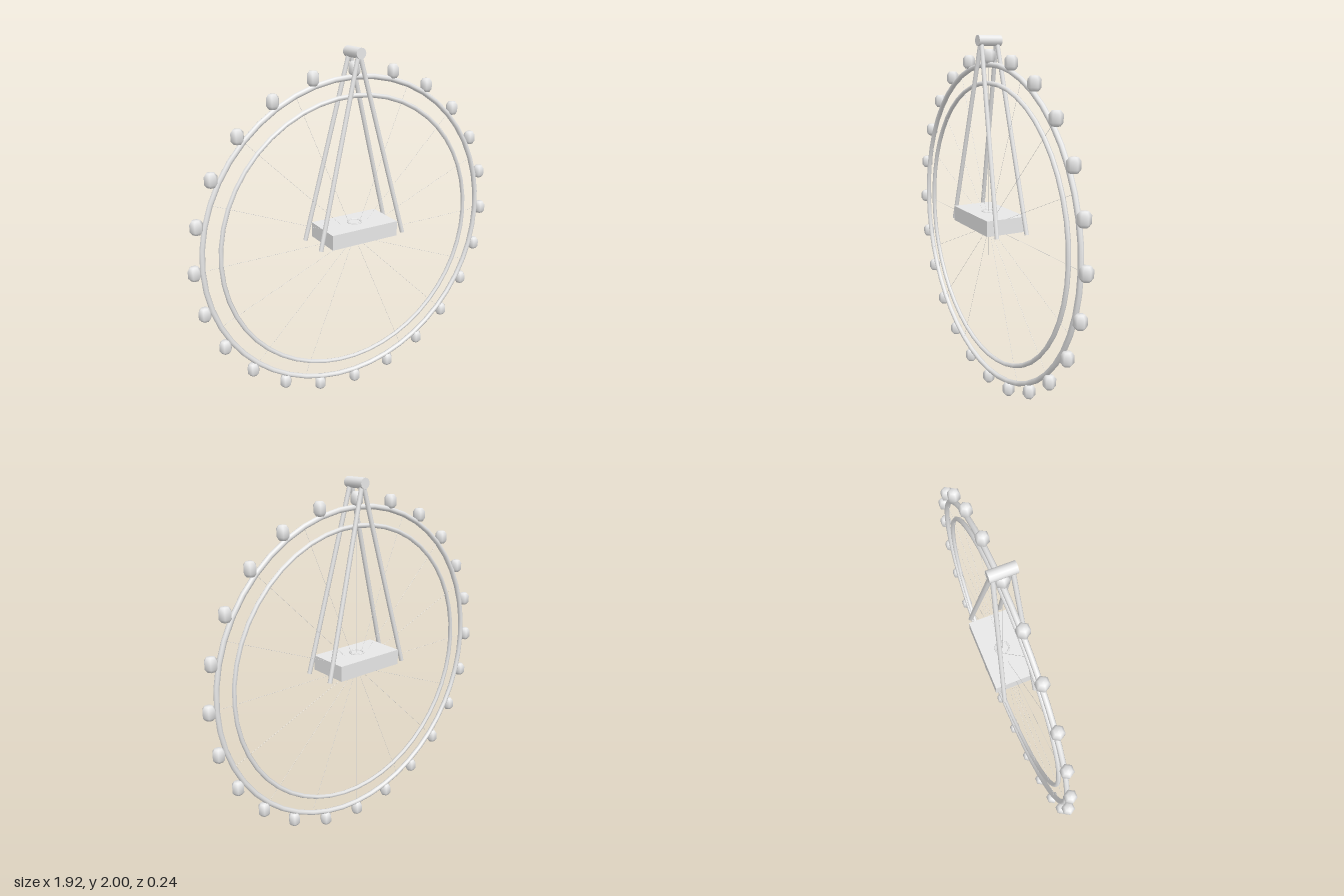
import * as THREE from 'three';

const CENTRE_Y = 0.965;
const grey = new THREE.MeshStandardMaterial({ color: 0xe7e7e7 });
grey.name = 'light grey';

function addPart(parent, name, geometry, x = 0, y = 0, z = 0) {
  const mesh = new THREE.Mesh(geometry, grey);
  mesh.name = name;
  mesh.position.set(x, y, z);
  parent.add(mesh);
  return mesh;
}

// Round bar running between two points
function addBar(parent, name, from, to, radius, sides) {
  const dir = to.clone().sub(from);
  const bar = addPart(parent, name, new THREE.CylinderGeometry(radius, radius, dir.length(), sides));
  bar.position.copy(from).addScaledVector(dir, 0.5);
  bar.quaternion.setFromUnitVectors(new THREE.Vector3(0, 1, 0), dir.normalize());
  return bar;
}

export function createModel() {
  const model = new THREE.Group();
  model.name = 'observationWheel';

  // Wheel: two rims, hair-thin spokes and upright cabins
  const wheel = new THREE.Group();
  wheel.name = 'wheel';
  wheel.position.y = CENTRE_Y;
  model.add(wheel);
  addPart(wheel, 'outerRim', new THREE.TorusGeometry(0.885, 0.0145, 8, 48));
  addPart(wheel, 'innerRim', new THREE.TorusGeometry(0.788, 0.0125, 6, 48));

  const hub = new THREE.Vector3();
  for (let i = 0; i < 16; i++) {
    const a = (i / 16) * Math.PI * 2;
    const end = new THREE.Vector3(Math.cos(a) * 0.885, Math.sin(a) * 0.885, 0);
    addBar(wheel, 'spoke', hub, end, 0.0008, 5);
  }

  // Six-sided cabin with bevelled top and bottom, corners towards +x and -x
  const profile = [[0, -0.038], [0.021, -0.036], [0.034, -0.019], [0.034, 0.019], [0.021, 0.036], [0, 0.038]];
  const cabin = new THREE.LatheGeometry(profile.map(([r, y]) => new THREE.Vector2(r, y)), 6, Math.PI / 2);
  for (let i = 0; i < 24; i++) {
    const a = (i / 24) * Math.PI * 2;
    addPart(wheel, 'cabin', cabin, Math.cos(a) * 0.927, Math.sin(a) * 0.927, 0);
  }

  // Central platform with a small flat ring on its top
  addPart(model, 'platform', new THREE.BoxGeometry(0.414, 0.085, 0.236), 0, 1.009, 0);
  const ring = addPart(model, 'platformRing', new THREE.TorusGeometry(0.038, 0.005, 6, 20), 0, 1.052, 0);
  ring.rotation.x = Math.PI / 2;

  // Four splayed legs meeting under the axle
  for (const sx of [-1, 1]) {
    for (const sz of [-1, 1]) {
      addBar(model, 'leg',
        new THREE.Vector3(sx * 0.264, 0.966, sz * 0.09),
        new THREE.Vector3(sx * 0.004, 1.965, sz * 0.046), 0.0125, 8);
    }
  }

  // Axle across the top
  const axle = addPart(model, 'axle', new THREE.CylinderGeometry(0.0285, 0.0285, 0.134, 12), 0, 1.9715, 0);
  axle.rotation.x = Math.PI / 2;

  return model;
}
